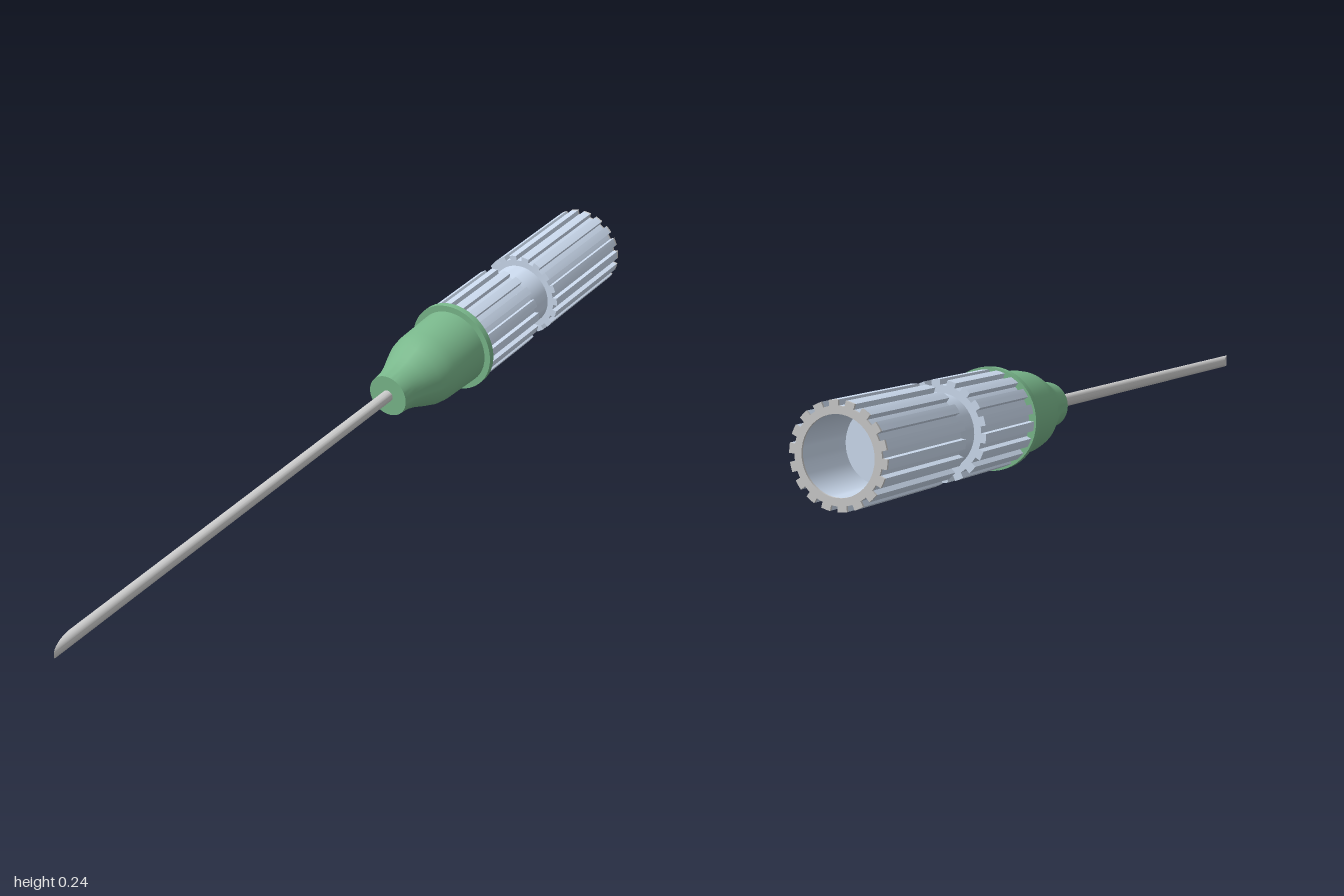
import * as THREE from 'three';
import { toCreasedNormals } from 'three/addons/utils/BufferGeometryUtils.js';

const steel = new THREE.MeshStandardMaterial({ color: 0xcccccc });
const green = new THREE.MeshStandardMaterial({ color: 0x7ab88c });
const blue = new THREE.MeshStandardMaterial({ color: 0xcddcf0 });

const BORE = 0.076;

function part(name, geometry, material) {
  const mesh = new THREE.Mesh(toCreasedNormals(geometry, 0.45), material);
  mesh.name = name;
  return mesh;
}

// Turned solid along x from [position, radius] pairs
function turned(profile, segments = 48) {
  const points = profile.map(([x, r]) => new THREE.Vector2(r, x));
  return new THREE.LatheGeometry(points, segments).rotateZ(-Math.PI / 2);
}

// Ribbed sleeve along x, optionally bored through
function ribbed(x0, x1, bored) {
  const teeth = 18, inner = 0.091, outer = 0.102;
  const pitch = (Math.PI * 2) / teeth, half = pitch * 0.27;
  const points = [];
  for (let i = 0; i < teeth; i++) {
    const a = THREE.MathUtils.degToRad(96) + i * pitch;
    const corners = [
      [inner, -half * 1.08], [outer, -half], [outer, 0], [outer, half],
      [inner, half * 1.08], [inner, pitch / 2],
    ];
    for (const [r, d] of corners) {
      points.push(new THREE.Vector2(r * Math.cos(a + d), r * Math.sin(a + d)));
    }
  }
  const shape = new THREE.Shape(points);
  if (bored) shape.holes.push(new THREE.Path().absarc(0, 0, BORE, 0, Math.PI * 2, true));
  return new THREE.ExtrudeGeometry(shape, { depth: x1 - x0, bevelEnabled: false, curveSegments: 24 })
    .rotateY(Math.PI / 2)
    .translate(x0, 0, 0);
}

// Needle shaft whose end is ground to a slanted point
function needleGeometry() {
  const r = 0.0135, length = 1.16;
  const g = new THREE.CylinderGeometry(r, r, length, 24)
    .rotateZ(-Math.PI / 2)
    .translate(-1 + length / 2, 0, 0);
  const p = g.attributes.position;
  for (let i = 0; i < p.count; i++) {
    if (p.getX(i) > -0.99) continue;
    const t = Math.max(0, (r - p.getZ(i)) / (2 * r));
    p.setX(i, -1 + 0.085 * Math.pow(t, 1.3));
  }
  return g;
}

export function createModel() {
  const model = new THREE.Group();
  model.name = 'needle';

  model.add(part('needleShaft', needleGeometry(), steel));

  // Hub: narrow collar, flared shoulder, body and end flange
  model.add(part('hub', turned([
    [0.125, 0], [0.125, 0.049], [0.16, 0.052], [0.19, 0.061], [0.225, 0.075],
    [0.25, 0.084], [0.275, 0.088], [0.386, 0.092], [0.386, 0.107], [0.401, 0.107], [0.401, 0],
  ]), green));

  // Handle: two ribbed sleeves joined by a plain neck, which closes the socket
  model.add(part('frontGrip', ribbed(0.4, 0.612, false), blue));
  model.add(part('neck', turned([[0.6, 0], [0.6, BORE], [0.84, BORE], [0.84, 0]]), blue));
  model.add(part('rearGrip', ribbed(0.695, 0.989, true), blue));
  model.add(part('socketRim', ribbed(0.989, 0.994, true), steel));

  // The whole tool lies on its flange, tip lowered
  model.rotation.z = Math.atan(0.0525);
  model.position.y = 0.0866;

  const root = new THREE.Group();
  root.add(model);
  return root;
}
